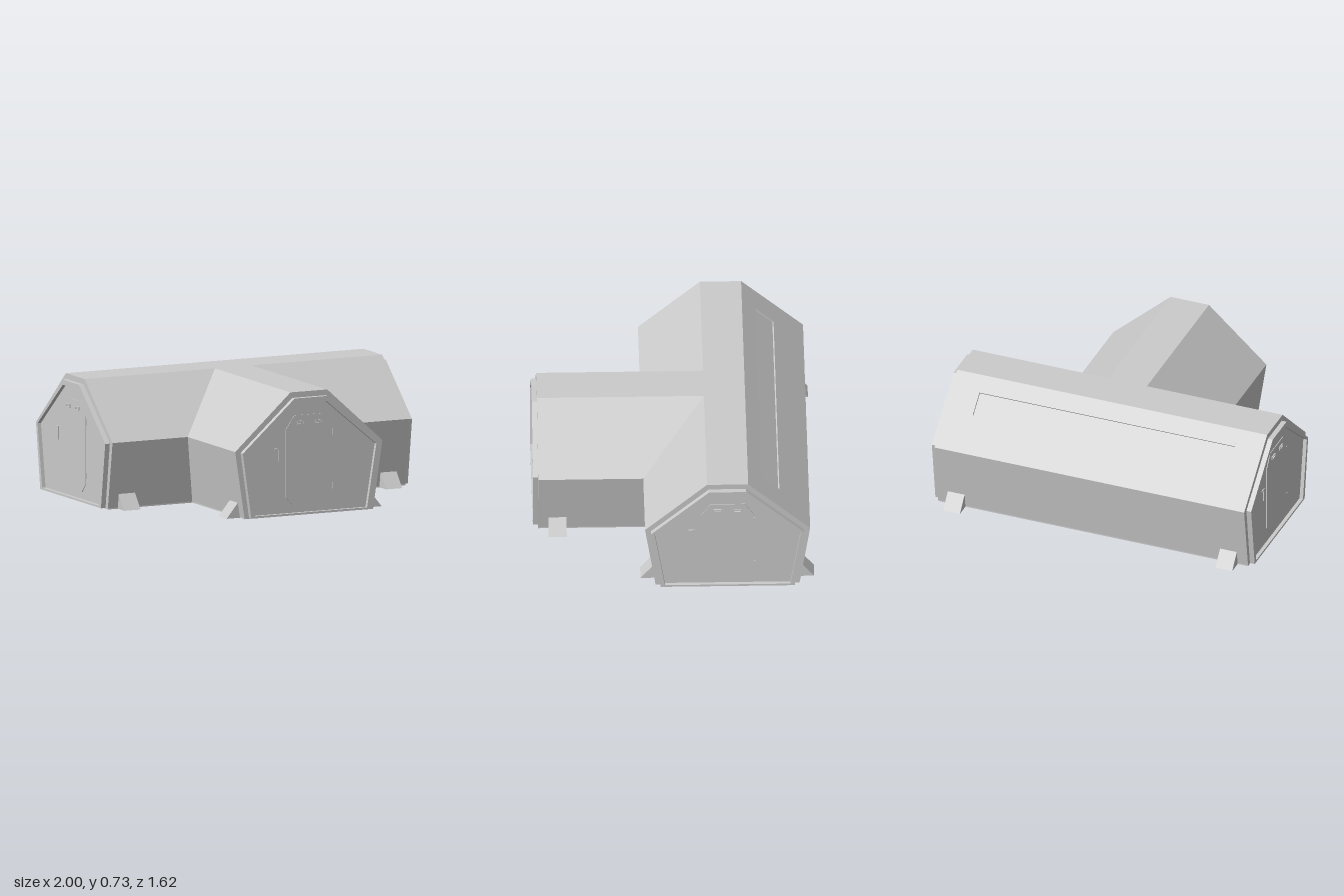
import * as THREE from 'three';

const FLOOR = 0.008, MAIN_Z = -0.31;
const mat = new THREE.MeshStandardMaterial({ color: 0xcccccc, flatShading: true });

// Extrudes a polygon from z0 to z1, with an optional polygonal hole
function prism(name, points, z0, z1, hole) {
  const toVec = (list) => list.map(([x, y]) => new THREE.Vector2(x, y));
  const shape = new THREE.Shape(toVec(points));
  if (hole) shape.holes.push(new THREE.Path(toVec(hole)));
  const geo = new THREE.ExtrudeGeometry(shape, { depth: z1 - z0, bevelEnabled: false });
  geo.translate(0, 0, z0);
  const mesh = new THREE.Mesh(geo, mat);
  mesh.name = name;
  return mesh;
}

function box(name, w, h, d, x, y, z) {
  const mesh = new THREE.Mesh(new THREE.BoxGeometry(w, h, d), mat);
  mesh.name = name;
  mesh.position.set(x, y, z);
  return mesh;
}

// Six-sided tunnel section; extra points may be cut into the +x roof slope
function section(base, waist, waistY, top, topY, bottomY, notch = []) {
  return [[-base, bottomY], [base, bottomY], [waist, waistY], ...notch,
    [top, topY], [-top, topY], [-waist, waistY]];
}

const hull = section(0.42, 0.48, 0.4, 0.12, 0.725, FLOOR);
const slotted = section(0.42, 0.48, 0.4, 0.12, 0.725, FLOOR,
  [[0.305, 0.558], [0.298, 0.551], [0.193, 0.645], [0.2, 0.653]]);
const frameOuter = section(0.39, 0.445, 0.392, 0.108, 0.692, 0.005);
const frameInner = section(0.365, 0.425, 0.388, 0.1, 0.662, 0.017);

// End wall: raised frame and a recessed bulkhead with its door, facing +z
function endWall(z) {
  const g = new THREE.Group();
  g.name = 'endWall';
  g.add(prism('endFrame', frameOuter, z, z + 0.03, frameInner));
  g.add(prism('bulkhead', frameInner, z - 0.01, z + 0.008));
  const face = z + 0.008;
  const door = [[-0.11, 0.06], [0.11, 0.06], [0.155, 0.11], [0.155, 0.51],
    [0.1, 0.59], [-0.1, 0.59], [-0.155, 0.51], [-0.155, 0.11]];
  g.add(prism('door', door, face, face + 0.004));
  for (const s of [-1, 1]) {
    const x = s * 0.058;
    const rim = (w, h) => [[x - w, 0.545 - h], [x + w, 0.545 - h], [x + w, 0.545 + h], [x - w, 0.545 + h]];
    g.add(prism('windowFrame', rim(0.023, 0.011), face, face + 0.011, rim(0.018, 0.006)));
  }
  for (const y of [0.16, 0.475]) g.add(box('hinge', 0.012, 0.036, 0.007, 0.155, y, face + 0.003));
  g.add(box('handle', 0.012, 0.07, 0.006, -0.2, 0.36, face + 0.003));
  g.add(box('handleTop', 0.035, 0.01, 0.006, -0.21, 0.4, face + 0.003));
  return g;
}

// Wedge feet on both walls and two bars under the floor, between z0 and z1
function feet(z0, z1) {
  const g = new THREE.Group();
  g.name = 'feet';
  for (const s of [-1, 1]) {
    const pts = [[0.4, 0], [0.505, 0], [0.43, 0.092], [0.4, 0.092]].map(([x, y]) => [s * x, y]);
    g.add(prism('foot', pts, z0, z1));
  }
  for (const z of [z0 + 0.01, z1 - 0.01]) g.add(box('floorBar', 0.82, FLOOR, 0.014, 0, FLOOR / 2, z));
  return g;
}

// Floor rails under both walls of a tunnel
function rails(z0, z1) {
  const g = new THREE.Group();
  g.name = 'floorRails';
  for (const s of [-1, 1]) g.add(box('rail', 0.016, FLOOR, z1 - z0, s * 0.411, FLOOR / 2, (z0 + z1) / 2));
  return g;
}

export function createModel() {
  const model = new THREE.Group();
  model.name = 'shelter';

  // Long cross tunnel, modelled along z and turned onto x
  const main = new THREE.Group();
  main.name = 'mainTunnel';
  main.add(prism('hullMiddle', slotted, -0.8, 0.8));
  for (const s of [-1, 1]) {
    main.add(prism('hullEnd', hull, s < 0 ? -0.97 : 0.8, s < 0 ? -0.8 : 0.97));
    main.add(box('endBar', 0.82, FLOOR, 0.014, 0, FLOOR / 2, s * 0.962));
    const end = new THREE.Group();
    end.name = 'tunnelEnd';
    end.add(endWall(0.97), feet(0.8, 0.905));
    end.rotation.y = s < 0 ? Math.PI : 0;
    main.add(end);
  }
  main.add(rails(-0.97, 0.97));
  main.rotation.y = Math.PI / 2;
  main.position.z = MAIN_Z;
  model.add(main);

  // Front branch, meeting the main roof at mitred valleys
  const branch = new THREE.Group();
  branch.name = 'frontTunnel';
  branch.add(prism('branchHull', hull, -0.19, 0.78), endWall(0.78), feet(0.615, 0.72), rails(-0.19, 0.78));
  branch.add(box('endBar', 0.82, FLOOR, 0.014, 0, FLOOR / 2, 0.772));
  model.add(branch);
  return model;
}
